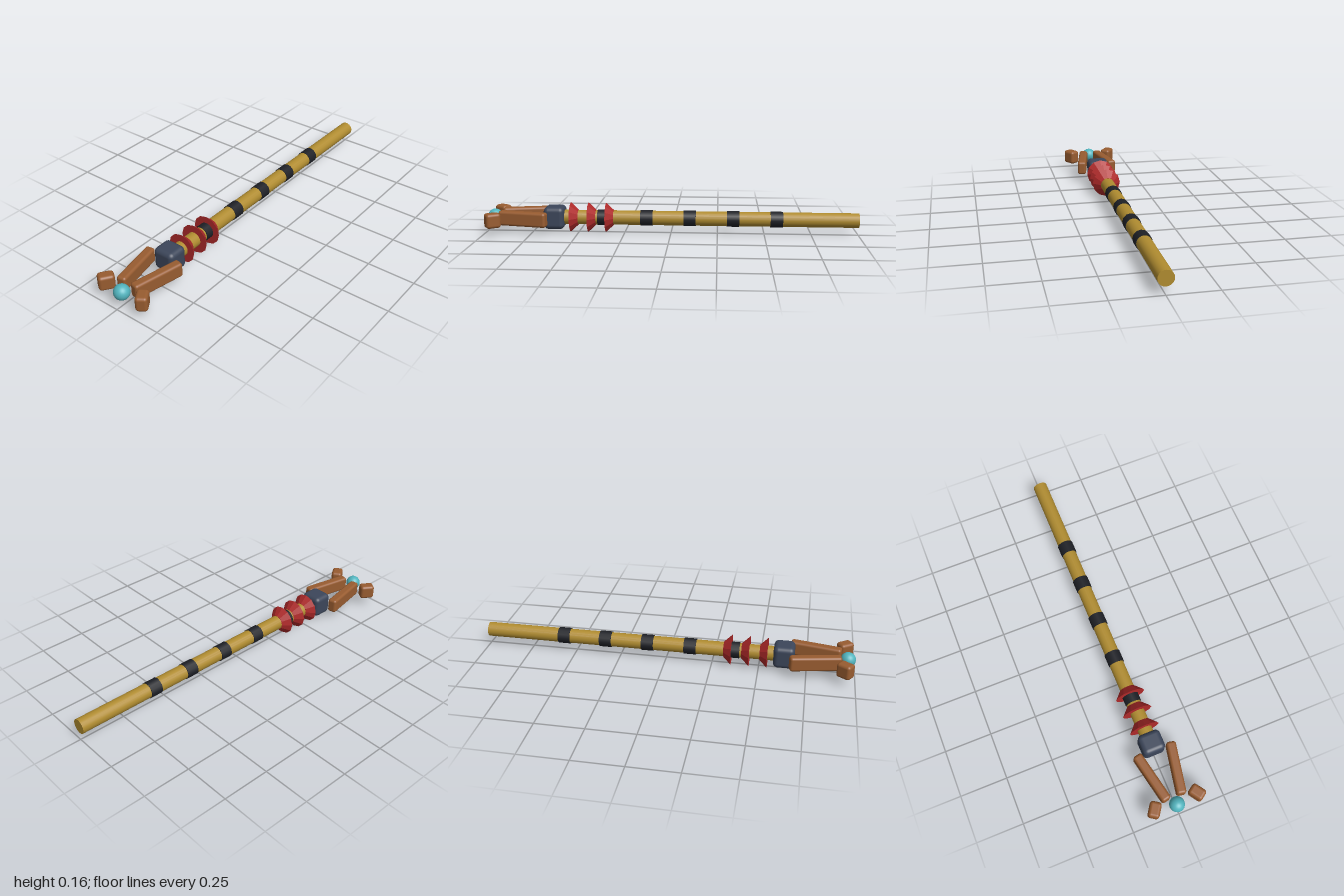
import * as THREE from 'three';
import { RoundedBoxGeometry } from 'three/addons/geometries/RoundedBoxGeometry.js';

const AXIS_Y = 0.083;

export function createModel() {
  const group = new THREE.Group();
  const mat = (color, flatShading = false) => new THREE.MeshStandardMaterial({ color, flatShading });
  const gold = mat(0xb08c30), black = mat(0x1e2026), red = mat(0xb02a2a, true);
  const slate = mat(0x3c465a), brown = mat(0x985c30), teal = mat(0x52b4be);

  const add = (name, geometry, material, x, z, turn = 0) => {
    const mesh = new THREE.Mesh(geometry, material);
    mesh.name = name;
    mesh.position.set(x, AXIS_Y, z);
    mesh.rotation.y = turn;
    group.add(mesh);
  };
  // Cylinder lying along z, rFront facing +z
  const rod = (rFront, rBack, length, sides) =>
    new THREE.CylinderGeometry(rFront, rBack, length, sides).rotateX(Math.PI / 2);

  // Long shaft with grip bands
  add('shaft', rod(0.039, 0.039, 1.6, 20), gold, 0, -0.2);
  for (let i = 0; i < 5; i++) {
    add('gripBand', rod(0.043, 0.043, 0.066, 12), black, 0, -0.565 + i * 0.232);
  }

  // Flared collars, wide toward the head
  for (let i = 0; i < 3; i++) {
    add('collar', rod(0.08, 0.041, 0.041, 12), red, 0, 0.331 + i * 0.096);
  }

  // Head block
  add('headBlock', new RoundedBoxGeometry(0.12, 0.12, 0.11, 4, 0.025), slate, 0, 0.63);

  // Converging prongs and splayed tips, mirrored
  for (const s of [-1, 1]) {
    add('prong', new RoundedBoxGeometry(0.05, 0.079, 0.27, 4, 0.014), brown, s * 0.067, 0.793, -s * 0.2);
    add('prongTip', new RoundedBoxGeometry(0.06, 0.079, 0.08, 4, 0.016), brown, s * 0.116, 0.945, s * 0.6);
  }

  // Orb between the tips
  add('orb', new THREE.SphereGeometry(0.04, 24, 16), teal, 0, 0.96);

  return group;
}
